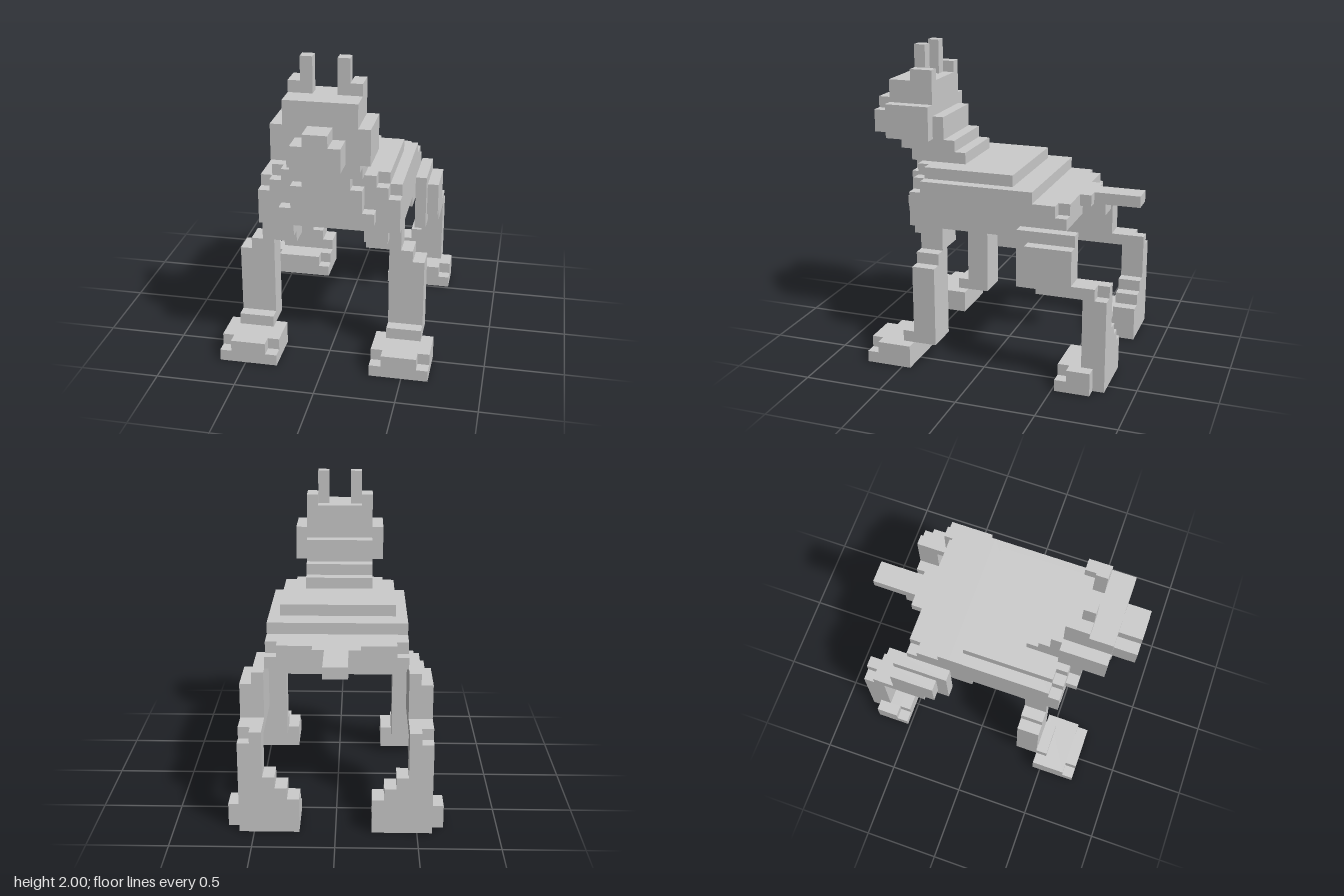
import * as THREE from 'three';

// One block of the grid: the model is 27 blocks tall
const U = 2 / 27;
const material = new THREE.MeshStandardMaterial({ color: 0xcccccc, flatShading: true });

// Box given by its limits in blocks
function box(parent, name, x0, x1, y0, y1, z0, z1) {
  const mesh = new THREE.Mesh(
    new THREE.BoxGeometry((x1 - x0) * U, (y1 - y0) * U, (z1 - z0) * U), material);
  mesh.position.set((x0 + x1) / 2 * U, (y0 + y1) / 2 * U, (z0 + z1) / 2 * U);
  mesh.name = name;
  parent.add(mesh);
}

// Box centred on x = 0
const mid = (parent, name, w, y0, y1, z0, z1) => box(parent, name, -w, w, y0, y1, z0, z1);

// Box and its mirror image
function pair(parent, name, x0, x1, ...yz) {
  box(parent, name + 'Left', x0, x1, ...yz);
  box(parent, name + 'Right', -x1, -x0, ...yz);
}

function group(root, name) {
  const g = new THREE.Group();
  g.name = name;
  root.add(g);
  return g;
}

export function createModel() {
  const root = new THREE.Group();
  root.name = 'blockDog';

  // Trunk with raised back, belly and stepped rump
  const body = group(root, 'body');
  mid(body, 'trunk', 6, 12, 16, -3, 6);
  mid(body, 'backRidge', 5, 16, 17, -2, 6);
  mid(body, 'loin', 6, 13, 16, -4, -3);
  mid(body, 'belly', 6, 11, 12, -3, -1);
  mid(body, 'rump', 6, 13, 15, -6, -4);
  mid(body, 'rumpLower', 6, 13, 14, -7, -6);
  mid(body, 'rumpUpper', 5, 14, 15, -7, -6);

  // Chest, stepped at the corners
  const chest = group(root, 'chest');
  mid(chest, 'chestWide', 6, 12, 15, 6, 7);
  mid(chest, 'chestShoulder', 5, 15, 16, 6, 7);
  mid(chest, 'chestTop', 4, 16, 17, 6, 7);
  pair(chest, 'chestLower', 3, 5, 11, 12, 6, 7);
  mid(chest, 'breastPlate', 3, 14, 16, 7, 8);
  mid(chest, 'breastPlateTop', 2, 16, 17, 7, 8);
  mid(chest, 'breastPlateBase', 4, 13, 14, 7, 8);

  // Tail
  const tail = group(root, 'tail');
  mid(tail, 'tailRoot', 2, 14, 15, -8, -7);
  mid(tail, 'tailUnderside', 1, 13, 14, -9, -7);
  mid(tail, 'tailTip', 1, 14, 15, -12, -8);

  // Neck, leaning forward in steps
  const neck = group(root, 'neck');
  mid(neck, 'neckBase', 3, 17, 18, 3, 8);
  mid(neck, 'neckMiddle', 3, 18, 19, 4, 9);
  mid(neck, 'neckTop', 3, 19, 21, 5, 6);

  // Head with muzzle and ears
  const head = group(root, 'head');
  mid(head, 'cheeks', 4, 19, 22, 6, 10);
  mid(head, 'skull', 3, 22, 24, 6, 10);
  mid(head, 'muzzle', 2, 19, 21, 10, 12);
  mid(head, 'noseBridge', 1, 21, 22, 10, 12);
  pair(head, 'earBase', 2, 3, 24, 25, 6, 8);
  pair(head, 'ear', 1, 2, 24, 27, 7, 8);

  // Front legs
  const front = group(root, 'frontLegs');
  pair(front, 'frontShoulder', 3, 6, 10, 12, 4, 6);
  pair(front, 'frontLeg', 5, 8, 2, 9, 4, 6);
  pair(front, 'frontLegUpper', 5, 7, 9, 10, 4, 6);
  pair(front, 'frontAnkle', 5, 8, 2, 3, 6, 7);
  pair(front, 'frontFoot', 4, 9, 0, 1, 6, 10);
  pair(front, 'frontFootTop', 4, 9, 1, 2, 6, 9);
  pair(front, 'frontToes', 5, 8, 1, 2, 9, 10);

  // Back legs: two-layer thigh, hock and lower leg
  const back = group(root, 'backLegs');
  pair(back, 'thigh', 6, 7, 8, 13, -8, -3);
  pair(back, 'thighOuter', 7, 8, 9, 12, -8, -4);
  pair(back, 'thighOuterLower', 7, 8, 8, 9, -8, -5);
  pair(back, 'hock', 6, 8, 8, 9, -10, -8);
  pair(back, 'hockHeel', 6, 7, 8, 9, -11, -10);
  pair(back, 'backLeg', 6, 8, 2, 8, -11, -9);

  // Back feet with inner steps rising to the leg
  for (let i = 0; i < 3; i++) pair(back, 'footStep' + (i + 1), 3 + i, 4 + i, 2, 3 + i, -11, -9);
  pair(back, 'backFoot', 3, 8, 0, 1, -11, -7);
  pair(back, 'backFootTop', 3, 8, 1, 2, -11, -8);
  pair(back, 'backToes', 4, 8, 1, 2, -8, -7);
  pair(back, 'backFootSide', 8, 9, 0, 1, -10, -7);
  pair(back, 'backFootSideTop', 8, 9, 1, 2, -10, -8);

  return root;
}
